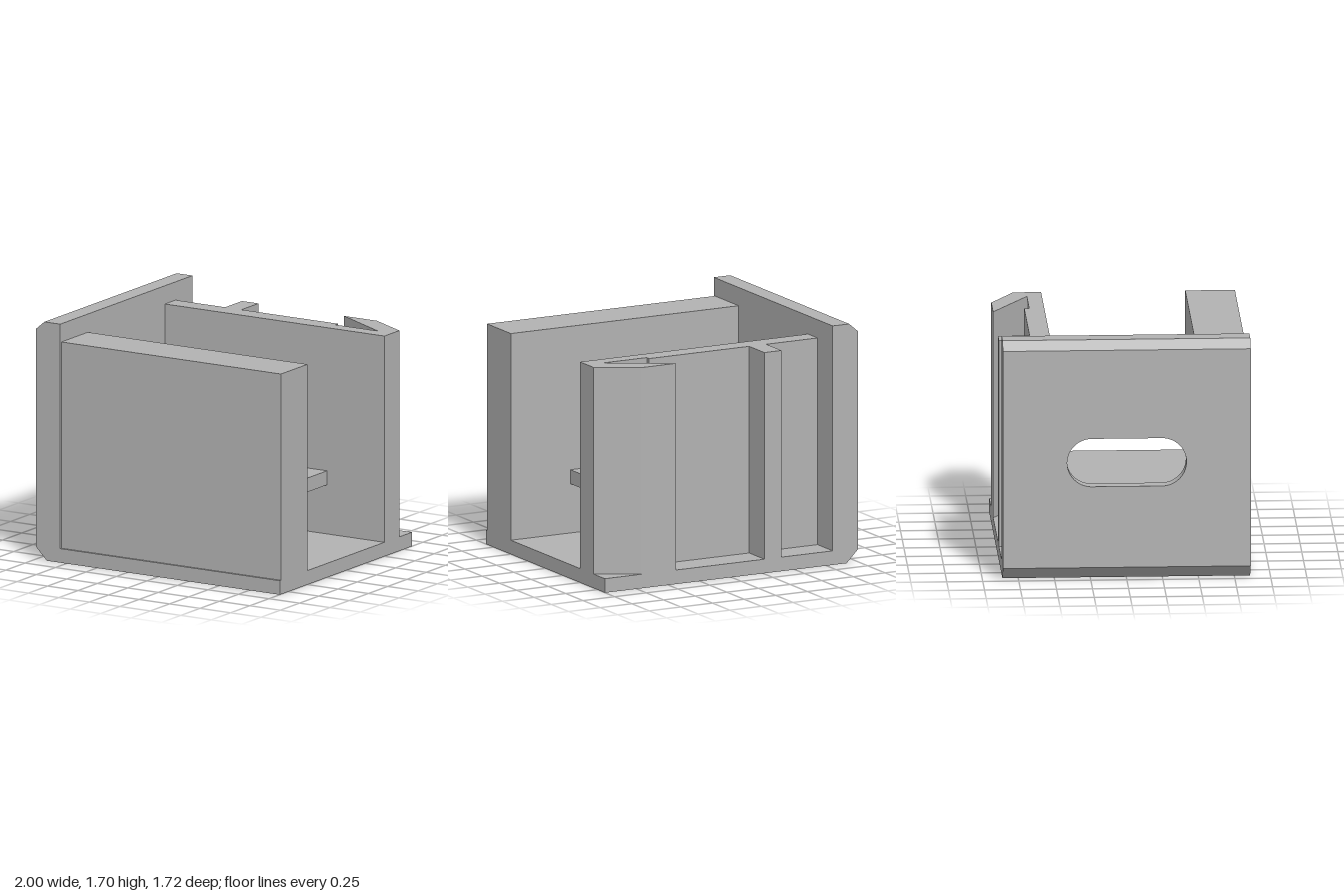
import * as THREE from 'three';
import { toCreasedNormals } from 'three/addons/utils/BufferGeometryUtils.js';

const DEPTH = 0.86;      // half depth of the base
const FLOOR = 0.1;       // top of the base
const WALL_TOP = 1.57;   // top of the side walls
const PLATE_IN = -0.8;   // inner face of the end plate

const polygon = (points) => new THREE.Shape(points.map(([a, b]) => new THREE.Vector2(a, b)));

const extrude = (shape, depth) => toCreasedNormals(
  new THREE.ExtrudeGeometry(shape, { depth, bevelEnabled: false, curveSegments: 24 }), 0.4);

// Profile in x, y, run along the full depth
const alongZ = (points) => extrude(polygon(points), DEPTH * 2).translate(0, 0, -DEPTH);

// Outline in z, y, run along x from x0 to x1
const alongX = (shape, x0, x1) => extrude(shape, x1 - x0).rotateY(-Math.PI / 2).translate(x1, 0, 0);

// Plan in x, z, run upwards from y0 to y1
const upwards = (plan, y0, y1) =>
  extrude(polygon(plan.map(([x, z]) => [x, -z])), y1 - y0).rotateX(-Math.PI / 2).translate(0, y0, 0);

const box = (x0, x1, y0, y1, z0, z1) => new THREE.BoxGeometry(x1 - x0, y1 - y0, z1 - z0)
  .translate((x0 + x1) / 2, (y0 + y1) / 2, (z0 + z1) / 2);

const rectangle = (w, y0, y1) => [[-w, y0], [w, y0], [w, y1], [-w, y1]];

export function createModel() {
  const group = new THREE.Group();
  const grey = new THREE.MeshStandardMaterial({ color: 0xb2b2b2 });
  grey.name = 'grey';

  const add = (name, geometry, parent = group) => {
    const mesh = new THREE.Mesh(geometry, grey);
    mesh.name = name;
    parent.add(mesh);
  };

  // Base with a chamfered lower edge under the end plate
  add('base', alongZ([[-1, FLOOR], [-1, 0.09], [-0.91, 0], [1, 0], [1, FLOOR]]));

  // End plate: slotted outer skin, recessed inner layer, chamfered cap
  const endPlate = new THREE.Group();
  endPlate.name = 'endPlate';
  group.add(endPlate);

  const outer = polygon(rectangle(DEPTH, FLOOR, 1.64));
  const slot = new THREE.Path();
  slot.absarc(0.243, 0.838, 0.171, -Math.PI / 2, Math.PI / 2);
  slot.absarc(-0.243, 0.838, 0.171, Math.PI / 2, Math.PI * 1.5);
  slot.closePath();
  outer.holes.push(slot);
  add('slottedSkin', alongX(outer, -1, -0.9), endPlate);

  const inner = polygon(rectangle(DEPTH, FLOOR, 1.64));
  inner.holes.push(polygon(rectangle(0.5, 0.55, 1.12)));
  add('recessedLayer', alongX(inner, -0.9, PLATE_IN), endPlate);

  add('plateCap', alongZ([[-1, 1.64], [PLATE_IN, 1.64], [PLATE_IN, 1.7], [-0.93, 1.7]]), endPlate);

  // Thick front wall, set slightly back from the base edge
  add('frontWall', box(PLATE_IN, 1, FLOOR, WALL_TOP, 0.5, 0.845));

  // Back wall with a rib and a hooked end
  add('backWall', upwards([
    [PLATE_IN, -0.5], [1, -0.5], [1, -0.695], [0.71, -DEPTH], [0.44, -DEPTH],
    [0.88, -0.605], [0.53, -0.605], [0.53, -0.64],
    [-0.26, -0.64], [-0.26, -DEPTH], [-0.395, -DEPTH], [-0.395, -0.64], [PLATE_IN, -0.64],
  ], FLOOR, WALL_TOP));

  // Shelf between the two walls
  add('shelf', box(PLATE_IN, 0.53, 0.45, 0.55, -0.5, 0.5));

  return group;
}
